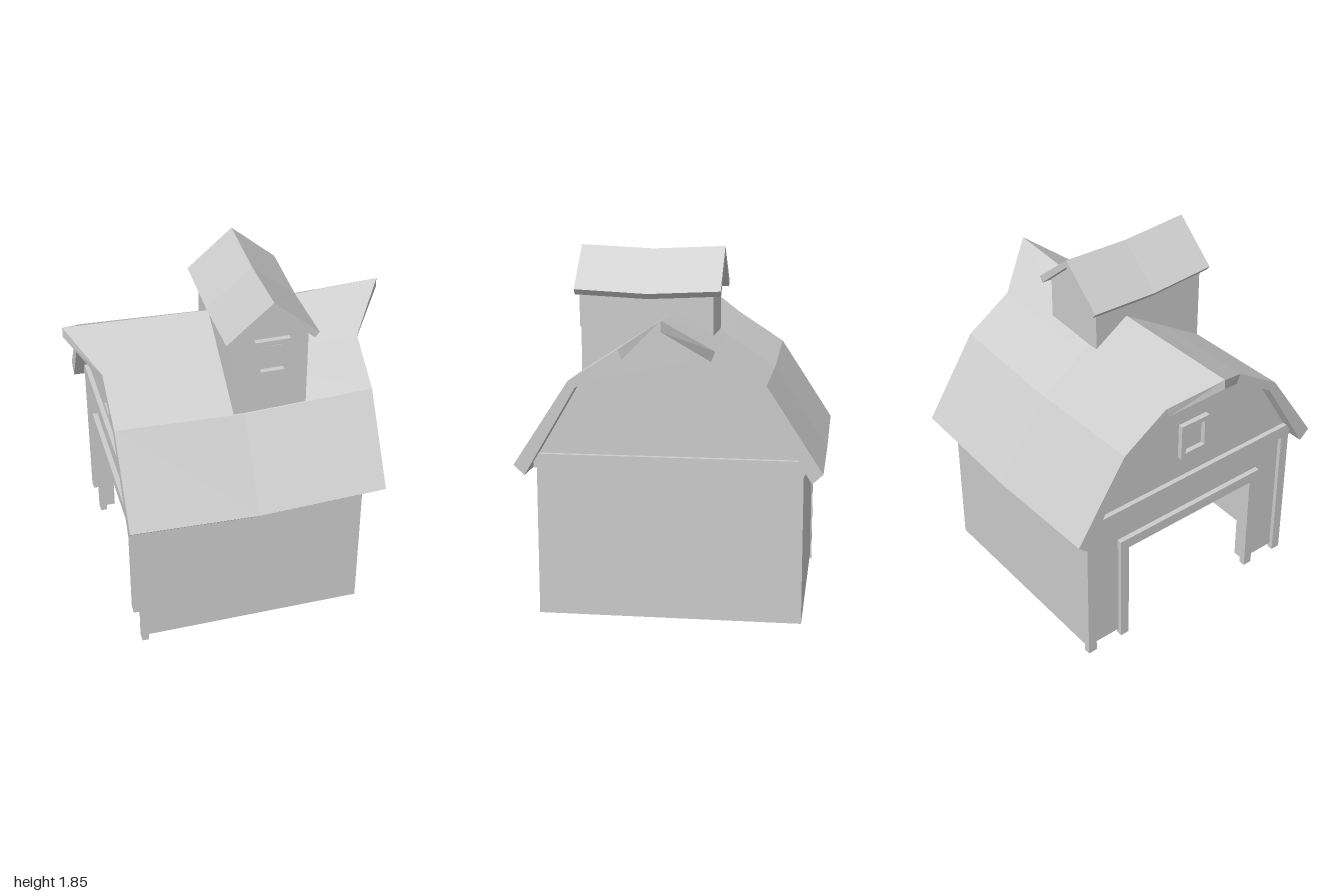
import * as THREE from 'three';

const mat = new THREE.MeshStandardMaterial({ color: 0xcccccc, flatShading: true, side: THREE.DoubleSide });

function add(parent, name, geo, x = 0, y = 0, z = 0) {
  const m = new THREE.Mesh(geo, mat);
  m.name = name;
  m.position.set(x, y, z);
  parent.add(m);
  return m;
}

// Box given by its lower and upper corners
function box(parent, name, x0, x1, y0, y1, z0, z1) {
  return add(parent, name, new THREE.BoxGeometry(x1 - x0, y1 - y0, z1 - z0),
    (x0 + x1) / 2, (y0 + y1) / 2, (z0 + z1) / 2);
}

// Half profile (ridge to eave) mirrored into a run from right eave to left eave
function mirror(half) {
  return [...half.slice().reverse(), ...half.slice(1).map(([x, y]) => [-x, y])];
}

function extrude(points, depth) {
  const shape = new THREE.Shape(points.map(([x, y]) => new THREE.Vector2(x, y)));
  return new THREE.ExtrudeGeometry(shape, { depth, bevelEnabled: false });
}

// Thick roof shell lofted through stations ordered from back to front
function roofShell(outerHalf, innerHalf, stations) {
  const outer = mirror(outerHalf);
  const loop = [...outer, ...mirror(innerHalf).reverse()];
  const n = loop.length, pos = [];
  const rings = stations.map(s => loop.map(([x, y]) => x === 0
    ? [0, y + s.ridgeY, s.ridgeZ]
    : [x, y + s.dy, s.z]));
  const quad = (a, b, c, d) => pos.push(...a, ...b, ...c, ...a, ...c, ...d);
  for (let s = 0; s < rings.length - 1; s++) {
    const a = rings[s], b = rings[s + 1];
    for (let i = 0; i < n; i++) {
      const j = (i + 1) % n;
      quad(a[i], a[j], b[j], b[i]);
    }
  }
  // fascia at both ends
  const back = rings[0], front = rings[rings.length - 1];
  for (let i = 0; i < outer.length - 1; i++) {
    const k = n - 1 - i;
    quad(front[i], front[i + 1], front[k - 1], front[k]);
    quad(back[k], back[k - 1], back[i + 1], back[i]);
  }
  const g = new THREE.BufferGeometry();
  g.setAttribute('position', new THREE.Float32BufferAttribute(pos, 3));
  g.computeVertexNormals();
  return g;
}

// Framed window facing +z, its back at z = 0
function makeWindow(name) {
  const g = new THREE.Group();
  g.name = name;
  const w = 0.0875, h = 0.1, t = 0.027, d = 0.027;
  for (const s of [-1, 1]) {
    add(g, 'windowSide', new THREE.BoxGeometry(t, 2 * h, d), s * (w - t / 2), 0, d / 2);
    add(g, 'windowRail', new THREE.BoxGeometry(2 * (w - t), t, d), 0, s * (h - t / 2), d / 2);
  }
  add(g, 'windowPane', new THREE.BoxGeometry(0.095, 0.122, 0.012), 0, 0, 0.006);
  return g;
}

export function createModel() {
  const root = new THREE.Group();
  root.name = 'barn';
  const barn = new THREE.Group();
  barn.name = 'building';
  barn.rotation.y = -0.646;
  root.add(barn);

  const W = 0.66, D = 0.572, T = 0.06, base = 0.03;

  // Main gambrel roof, sagging in the middle with a pointed ridge at both ends
  const outer = [[0, 1.555], [0.235, 1.405], [0.48, 1.245], [0.757, 0.82]];
  const inner = [[0, 1.502], [0.215, 1.355], [0.445, 1.212], [0.703, 0.77]];
  add(barn, 'mainRoof', roofShell(outer, inner, [
    { z: -0.657, dy: 0, ridgeZ: -0.836, ridgeY: 0.02 },
    { z: 0, dy: -0.027, ridgeZ: 0, ridgeY: -0.025 },
    { z: 0.65, dy: 0, ridgeZ: 0.794, ridgeY: 0 },
  ]));

  // End walls with their gables; the front one has a door opening
  const gable = mirror([[0, 1.51], [0.22, 1.362], [0.452, 1.22], [W, 0.86]]);
  const door = [[-0.41, base], [-0.41, 0.6], [0.41, 0.6], [0.41, base]];
  add(barn, 'frontWall', extrude([[W, base], ...gable, [-W, base], ...door], T), 0, 0, D - T);
  add(barn, 'backWall', extrude([[W, base], ...gable, [-W, base]], T), 0, 0, -D);

  for (const s of [-1, 1]) {
    // Side walls, corner boards, door posts
    add(barn, 'sideWall', new THREE.BoxGeometry(T, 0.78, 2 * (D - T)), s * (W - T / 2), base + 0.39, 0);
    add(barn, 'cornerBoard', new THREE.BoxGeometry(0.05, 0.8, 0.035), s * 0.642, 0.4, D + 0.005);
    add(barn, 'doorPost', new THREE.BoxGeometry(0.05, 0.6, 0.035), s * 0.432, 0.3, D + 0.005);
    // Belt board under each gable
    add(barn, 'beltBoard', new THREE.BoxGeometry(2 * W + 0.02, 0.07, 0.035), 0, 0.83, s * (D + 0.008));
  }
  box(barn, 'doorHeader', -0.463, 0.463, 0.598, 0.657, D - 0.01, D + 0.027);

  const gableWindow = makeWindow('gableWindow');
  gableWindow.position.set(0.005, 1.095, D);
  barn.add(gableWindow);

  // Cupola set across the ridge
  const cupola = new THREE.Group();
  cupola.name = 'cupola';
  cupola.position.set(0.137, 0, -0.128);
  cupola.rotation.y = Math.PI / 2;
  barn.add(cupola);
  add(cupola, 'cupolaBody', extrude(
    [[0.184, 1.2], [0.184, 1.65], [0, 1.81], [-0.184, 1.65], [-0.184, 1.2]], 0.666), 0, 0, -0.327);
  add(cupola, 'cupolaRoof', roofShell(
    [[0, 1.85], [0.23, 1.65]], [[0, 1.81], [0.208, 1.622]], [
      { z: -0.366, dy: 0, ridgeZ: -0.366, ridgeY: 0 },
      { z: 0, dy: -0.018, ridgeZ: 0, ridgeY: -0.017 },
      { z: 0.366, dy: 0, ridgeZ: 0.366, ridgeY: 0 },
    ]));
  const cupolaWindow = makeWindow('cupolaWindow');
  cupolaWindow.position.set(0, 1.54, 0.339);
  cupola.add(cupolaWindow);

  return root;
}
